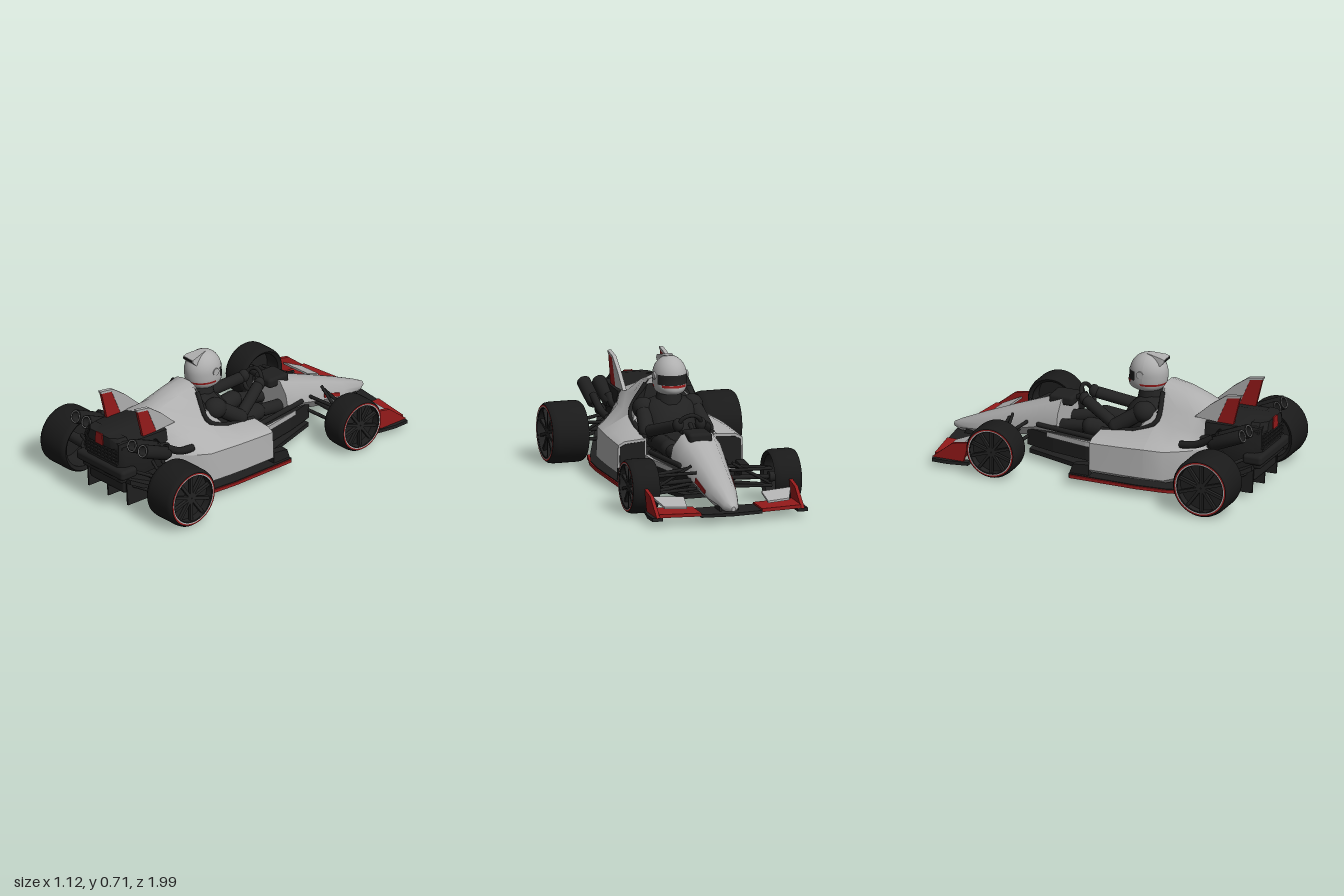
import * as THREE from 'three';
import { toCreasedNormals } from 'three/addons/utils/BufferGeometryUtils.js';
import { RoundedBoxGeometry } from 'three/addons/geometries/RoundedBoxGeometry.js';

const mat = (name, color, side = THREE.FrontSide) => {
  const m = new THREE.MeshStandardMaterial({ color, side });
  m.name = name;
  return m;
};
const silver = mat('silver paint', 0xafafaf);
const red = mat('red paint', 0x951a1a);
const black = mat('black carbon', 0x1f1f1f, THREE.DoubleSide);
const rubber = mat('tyre rubber', 0x1a1a1a);
const suit = mat('dark suit', 0x222222);

const V = (a) => new THREE.Vector3(...a);
const crease = (g, a = 0.6) => toCreasedNormals(g, a);

// Skin over closed cross-sections [z, [[x, y], ...]], counterclockwise, z increasing
function loft(sections, angle = 0.6) {
  const pos = [];
  const put = (s, j) => {
    const [x, y] = s[1][j % s[1].length];
    pos.push(x, y, s[0]);
  };
  for (let i = 0; i < sections.length - 1; i++) {
    const A = sections[i], B = sections[i + 1];
    for (let j = 0; j < A[1].length; j++) {
      put(A, j); put(A, j + 1); put(B, j + 1);
      put(A, j); put(B, j + 1); put(B, j);
    }
  }
  for (const [s, flip] of [[sections[0], true], [sections.at(-1), false]]) {
    const tris = THREE.ShapeUtils.triangulateShape(s[1].map((p) => new THREE.Vector2(...p)), []);
    for (const t of tris) for (const j of flip ? [t[2], t[1], t[0]] : t) put(s, j);
  }
  const g = new THREE.BufferGeometry();
  g.setAttribute('position', new THREE.Float32BufferAttribute(pos, 3));
  return crease(g, angle);
}
// Right half of a section, bottom to top, completed by its opposite half
const whole = ([z, pts]) => [z, [...pts, ...pts.map(([x, y]) => [-x, y]).reverse()]];

const shape = (pts) => new THREE.Shape(pts.map((p) => new THREE.Vector2(...p)));
const extrude = (pts, depth) => new THREE.ExtrudeGeometry(shape(pts), { depth, bevelEnabled: false });
// Flat plate from [x, z] points, and upright plate from [z, y] points
const plate = (pts, top, t) => extrude(pts, t).rotateX(Math.PI / 2).translate(0, top, 0);
const upright = (pts, x, t) => extrude(pts, t).rotateY(-Math.PI / 2).translate(x + t / 2, 0, 0);
const box = (w, h, d, x, y, z, r = 0) =>
  (r ? new RoundedBoxGeometry(w, h, d, 3, r) : new THREE.BoxGeometry(w, h, d)).translate(x, y, z);
const ball = (r, sx, sy, sz, x, y, z) => new THREE.SphereGeometry(r, 28, 20).scale(sx, sy, sz).translate(x, y, z);
const tube = (pts, r) => new THREE.TubeGeometry(new THREE.CatmullRomCurve3(pts.map(V)), 16, r, 12);

function between(geo, a, b) {
  const d = V(b).sub(V(a)).normalize();
  geo.applyQuaternion(new THREE.Quaternion().setFromUnitVectors(new THREE.Vector3(0, 1, 0), d));
  return geo.translate(...V(a).add(V(b)).multiplyScalar(0.5).toArray());
}
const bar = (a, b, r) => between(new THREE.CylinderGeometry(r, r, V(a).distanceTo(V(b)), 8), a, b);
const limb = (a, b, r) => between(new THREE.CapsuleGeometry(r, V(a).distanceTo(V(b)), 6, 14), a, b);

// Copy to the other side of the car, restoring the corner order
function mirrored(geo) {
  const g = (geo.index ? geo.toNonIndexed() : geo.clone()).scale(-1, 1, 1);
  for (const a of Object.values(g.attributes)) {
    for (let i = 0; i < a.count; i += 3) for (let k = 0; k < a.itemSize; k++) {
      const t = a.getComponent(i + 1, k);
      a.setComponent(i + 1, k, a.getComponent(i + 2, k));
      a.setComponent(i + 2, k, t);
    }
  }
  return g;
}

// Helmet surface: a sphere patch whose lower half flares out to a chin at -z
function shell(k, ...arc) {
  const g = new THREE.SphereGeometry(1, 36, 24, ...arc), p = g.attributes.position;
  for (let i = 0; i < p.count; i++) {
    const y = Math.min(p.getY(i), 0), z = p.getZ(i);
    p.setX(i, p.getX(i) * (1 + 0.5 * y * y));
    p.setZ(i, z * (1 + (z < 0 ? 0.9 : 0.35) * y * y));
  }
  g.computeVertexNormals();
  return g.scale(.097 * k, .113 * k, .112 * k).translate(0, .6, .205);
}

export function createModel() {
  const car = new THREE.Group();
  car.name = 'openWheelRacer';
  const add = (name, geo, m) => {
    const mesh = new THREE.Mesh(geo, m);
    mesh.name = name;
    car.add(mesh);
  };
  // Sides are named by the frame: +x is left
  const pair = (name, geo, m) => { add(name + 'Left', geo, m); add(name + 'Right', mirrored(geo), m); };

  // Nose cone: half width, bottom and top along z
  add('noseCone', loft([[-1, .012, .075, .1], [-.95, .045, .065, .125], [-.8, .085, .075, .19],
    [-.6, .112, .11, .27], [-.4, .14, .16, .345], [-.3, .153, .18, .385]].map(([z, w, b, t]) => whole([z,
    [[w * .7, b], [w, b + (t - b) * .3], [w * .92, b + (t - b) * .6], [w * .6, b + (t - b) * .92], [w * .2, t]]])), 0.8), silver);
  pair('noseStripe', loft([[-.75, [[.088, .125], [.095, .125], [.092, .145], [.085, .145]]],
    [-.62, [[.106, .165], [.112, .165], [.108, .19], [.1, .19]]]]), red);

  // Engine cover with the rear of the sidepods
  add('engineCover', loft([
    [.33, [[.33, .075], [.368, .1], [.362, .27], [.33, .29], [.2, .36], [.15, .45], [.08, .555], [.03, .57]]],
    [.45, [[.32, .075], [.358, .1], [.35, .27], [.32, .29], [.2, .36], [.14, .45], [.07, .535], [.03, .55]]],
    [.56, [[.24, .085], [.285, .12], [.28, .27], [.25, .30], [.2, .36], [.14, .44], [.06, .5], [.02, .51]]],
    [.66, [[.15, .12], [.19, .17], [.19, .27], [.185, .3], [.17, .36], [.15, .43], [.06, .455], [.02, .465]]],
  ].map(whole)), silver);
  const pod = [[.2, .075], [.34, .075], [.373, .1], [.368, .26], [.33, .28], [.2, .29]];
  pair('sidepod', loft([
    [0, pod],
    [.2, [[.2, .075], [.34, .075], [.373, .1], [.366, .265], [.33, .285], [.2, .315]]],
    [.33, [[.2, .075], [.33, .075], [.368, .1], [.362, .27], [.33, .29], [.2, .36]]],
  ]), silver);
  const inlet = pod.map(([x, y]) => [.285 + (x - .285) * .88, .18 + (y - .18) * .86]);
  pair('sidepodInlet', loft([[-.004, inlet], [.002, inlet]]), black);
  pair('cockpitShoulder', loft([
    [.24, [[.18, .3], [.21, .3], [.205, .34], [.18, .35]]],
    [.34, [[.14, .3], [.21, .3], [.19, .38], [.14, .46]]],
  ]), silver);
  pair('cockpitRim', tube([[.2, .285, 0], [.2, .315, .2], [.19, .38, .335], [.1, .53, .335]], .014), black);

  // Cockpit tub, seat and dash
  add('cockpitTub', plate([[-.11, -.5], [.11, -.5], [.16, -.32], [.2, -.1], [.2, .34], [-.2, .34], [-.2, -.1], [-.16, -.32]], .18, .1), black);
  pair('tubSideStrip', plate([[.158, -.36], [.165, -.33], [.208, -.1], [.208, 0], [.19, 0], [.19, -.1]], .195, .03), silver);
  pair('cockpitRail', limb([.135, .22, -.42], [.19, .22, -.05], .015), black);
  add('seatBack', loft([[.25, [[.17, .15], [.17, .33], [.05, .36]]], [.34, [[.19, .15], [.16, .45], [.085, .55]]]].map(whole)), black);
  add('dash', box(.14, .06, .15, 0, .36, -.315, .02), black);
  add('steeringColumn', bar([0, .34, -.3], [0, .4, -.18], .014), black);
  add('steeringWheel', new THREE.TorusGeometry(.065, .012, 8, 24).rotateX(-.45).translate(0, .395, -.175), black);

  // Floor, red edges and diffuser
  const floorSide = [[.13, -.48], [.24, -.13], [.24, 0], [.32, 0], [.32, -.12], [.39, -.12], [.395, .3], [.38, .48], [.33, .65]];
  add('floor', plate([...floorSide, ...floorSide.map(([x, z]) => [-x, z]).reverse()], .065, .025), black);
  pair('floorEdge', plate([[.383, -.11], [.4, -.11], [.402, .3], [.39, .47], [.345, .655], [.32, .655], [.365, .45], [.372, .3], [.375, 0]], .06, .018), red);
  pair('floorRearEdge', box(.16, .022, .006, .265, .042, .653), red);
  pair('bargeBoard', upright([[-.12, .065], [0, .065], [0, .13], [-.1, .12]], .35, .05), black);

  add('diffuser', loft([[.62, [[.34, .045], [.34, .065]]], [.93, [[.2, .18], [.2, .21]]]].map(whole)), black);
  for (const x of [-.165, 0, .165])
    add('diffuserStrake', upright([[.64, .03], [.92, .035], [.93, .19], [.64, .06]], x, .01), black);
  add('gearbox', box(.3, .2, .3, 0, .2, .78, .02), black);

  // Tail, grille, bumper and rear light
  add('tailCover', loft([
    [.63, [[.17, .2], [.195, .28], [.17, .42], [.05, .458]]],
    [.8, [[.17, .2], [.19, .3], [.17, .425], [.05, .455]]],
    [.93, [[.15, .24], [.165, .31], [.155, .43], [.05, .455]]],
    [.965, [[.12, .27], [.14, .32], [.14, .42], [.05, .45]]],
  ].map(whole)), black);
  for (let i = 0; i < 4; i++) add('grilleBar', box(.27, .009, .02, 0, .3 + i * .022, .966), suit);
  for (let i = -4; i <= 4; i++) add('grilleSlat', box(.007, .085, .015, i * .03, .335, .966), suit);
  add('tailLip', loft([[.9, [[.16, .385], [.165, .41], [.13, .45]]], [.95, [[.15, .385], [.155, .405], [.12, .45]]],
    [.985, [[.09, .385], [.1, .4], [.08, .45]]]].map(whole)), black);
  add('rearLight', loft([[.982, [[.03, .385], [.035, .4], [.026, .455]]], [.991, [[.028, .385], [.034, .4], [.025, .455]]]].map(whole)), red);
  add('rearBumper', box(.4, .06, .12, 0, .245, .93, .02), black);
  add('rearBumperLower', box(.34, .05, .06, 0, .205, .94, .02), black);

  // Rear fins
  pair('fin', upright([[.56, .44], [.66, .53], [.755, .597], [.85, .612], [.845, .597], [.766, .585], [.70, .43]], .153, .022), silver);
  pair('finPanel', upright([[.842, .597], [.766, .585], [.70, .43], [.80, .43]], .153, .018), red);

  // Exhaust pipes
  for (const [x, z0, y0] of [[.195, .6, .34], [.285, .52, .32]]) {
    pair('exhaustPipe', tube([[x - .02, y0 - .02, z0], [x - .01, y0, z0 + .1], [x, .385, .74]], .022), black);
    pair('muffler', between(crease(new THREE.LatheGeometry([[0, -.12], [.024, -.12], [.04, -.09], [.04, .1], [.028, .1], [.026, .05], [0, .05]]
      .map((p) => new THREE.Vector2(...p)), 20)), [x - .004, .34, .72], [x, .425, .92]), black);
    pair('exhaustRim', new THREE.TorusGeometry(.032, .0025, 6, 24).rotateX(-.4).translate(x, .422, .914), silver);
  }

  // Front wing
  add('wingCentre', plate([[-.18, -.965], [0, -.985], [.18, -.965], [.18, -.79], [-.18, -.79]], .06, .018), black);
  pair('wingPlane', plate([[.18, -.965], [.42, -.935], [.42, -.76], [.18, -.79]], .07, .02), red);
  pair('wingFoot', plate([[.40, -.935], [.46, -.935], [.462, -.84], [.44, -.72], [.40, -.72]], .05, .02), black);
  const flap = plate([[.23, -.79], [.24, -.885], [.37, -.87], [.41, -.77]], 0, .012);
  const fp = flap.attributes.position;
  for (let i = 0; i < fp.count; i++) fp.setY(i, fp.getY(i) + .09 + (fp.getZ(i) + .89) * .4);
  flap.computeVertexNormals();
  pair('wingFlap', flap, silver);
  pair('wingEndplate', upright([[-.945, .05], [-.75, .05], [-.715, .17], [-.82, .15]], .428, .02), red);
  pair('wingStrut', upright([[-.92, .05], [-.82, .05], [-.8, .12], [-.9, .1]], .05, .012), black);

  // Wheels and suspension
  const wheel = (name, R, w, x, z) => {
    const at = (g) => g.translate(x, R, z), h = w / 2;
    const lathe = (pts) => new THREE.LatheGeometry(pts.map((p) => new THREE.Vector2(...p)), 48).rotateZ(-Math.PI / 2);
    pair(name + 'Tyre', at(crease(lathe([[R * .8, .015 - h], [R * .92, -h], [R * .98, .014 - h], [R, .035 - h],
      [R, h - .035], [R * .98, h - .014], [R * .92, h], [R * .8, h - .004]]))), rubber);
    const ring = (a, b, off) => at(new THREE.RingGeometry(R * a, R * b, 48).rotateY(Math.PI / 2).translate(h + off, 0, 0));
    pair(name + 'RedRing', ring(.865, .91, .001), red);
    pair(name + 'SilverRing', ring(.83, .865, .001), silver);
    pair(name + 'Barrel', at(lathe([[R * .81, .015 - h], [R * .81, h]])), black);
    pair(name + 'Disc', at(new THREE.CircleGeometry(R * .81, 40).rotateY(Math.PI / 2).translate(h - .05, 0, 0)), black);
    pair(name + 'Hub', at(new THREE.CylinderGeometry(R * .16, R * .2, w * .8, 16).rotateZ(-Math.PI / 2).translate(-.01, 0, 0)), suit);
    for (let i = 0; i < 10; i++)
      pair(name + 'Spoke', at(box(.02, R * .8, R * .1, h - .025, R * .42, 0).rotateX(i * Math.PI / 5)), suit);
  };
  wheel('front', .155, .16, .42, -.557);
  wheel('rear', .175, .215, .4525, .772);
  for (const [hx, z, y, ix, spread] of [[.36, -.557, .155, .1, .06], [.38, .772, .175, .14, .12]]) {
    for (const dy of [-.05, .05]) for (const s of [-1, 1])
      pair('wishbone', bar([hx, y + dy, z + s * .012], [ix, y + dy * .9 + .02, z + s * spread], .01), black);
    pair('pushRod', bar([hx, y - .04, z], [ix + .02, y + .1, z - .03], .009), black);
    pair('axle', bar([hx, y, z], [ix, y + .01, z], .014), black);
  }

  // Driver
  add('torso', loft([[.06, .1, .2, .32], [.11, .13, .18, .41], [.18, .16, .18, .47], [.25, .17, .2, .48], [.31, .15, .2, .46]]
    .map(([z, w, b, t]) => whole([z, [[w * .7, b], [w, b + .06], [w, t - .08], [w * .75, t - .025], [w * .3, t]]])), 1), suit);
  add('neck', new THREE.CylinderGeometry(.06, .08, .1, 20).translate(0, .49, .22), suit);
  pair('shoulder', ball(.062, 1, 1, 1.1, .145, .41, .24), suit);
  pair('upperArm', limb([.15, .405, .22], [.175, .31, .08], .045), suit);
  pair('forearm', limb([.175, .31, .08], [.075, .385, -.14], .034), suit);
  pair('glove', ball(.032, 1, 1.2, 1, .066, .395, -.165), suit);
  pair('thigh', limb([.08, .23, .18], [.1, .25, -.11], .052), suit);
  pair('shin', limb([.1, .25, -.11], [.07, .2, -.4], .038), suit);

  // Helmet: shell, visor, red bands, rear spoiler and vent
  const turn = Math.PI * 2;
  add('helmetShell', shell(1, 0, turn, 0, 2.6), silver);
  add('helmetBase', ball(.075, 1, .4, 1.2, 0, .522, .195), suit);
  add('visor', shell(1.015, Math.PI * 1.5 - 1.1, 2.2, 1.42, .5), black);
  add('visorBand', shell(1.016, Math.PI * 1.5 - .8, 1.6, 1.93, .13), red);
  add('helmetRearBand', shell(1.012, Math.PI * .5 - 1.7, 3.4, 2, .12), red);
  add('helmetSpoiler', loft([[.2, [[.03, .67], [.02, .714]]], [.29, [[.045, .655], [.04, .704]]], [.315, [[.045, .68], [.04, .696]]]].map(whole)), silver);
  add('helmetVent', box(.07, .01, .006, 0, .688, .315), black);
  pair('visorPivot', new THREE.CylinderGeometry(.022, .022, .012, 18).rotateZ(Math.PI / 2).translate(.095, .605, .19), silver);
  return car;
}
